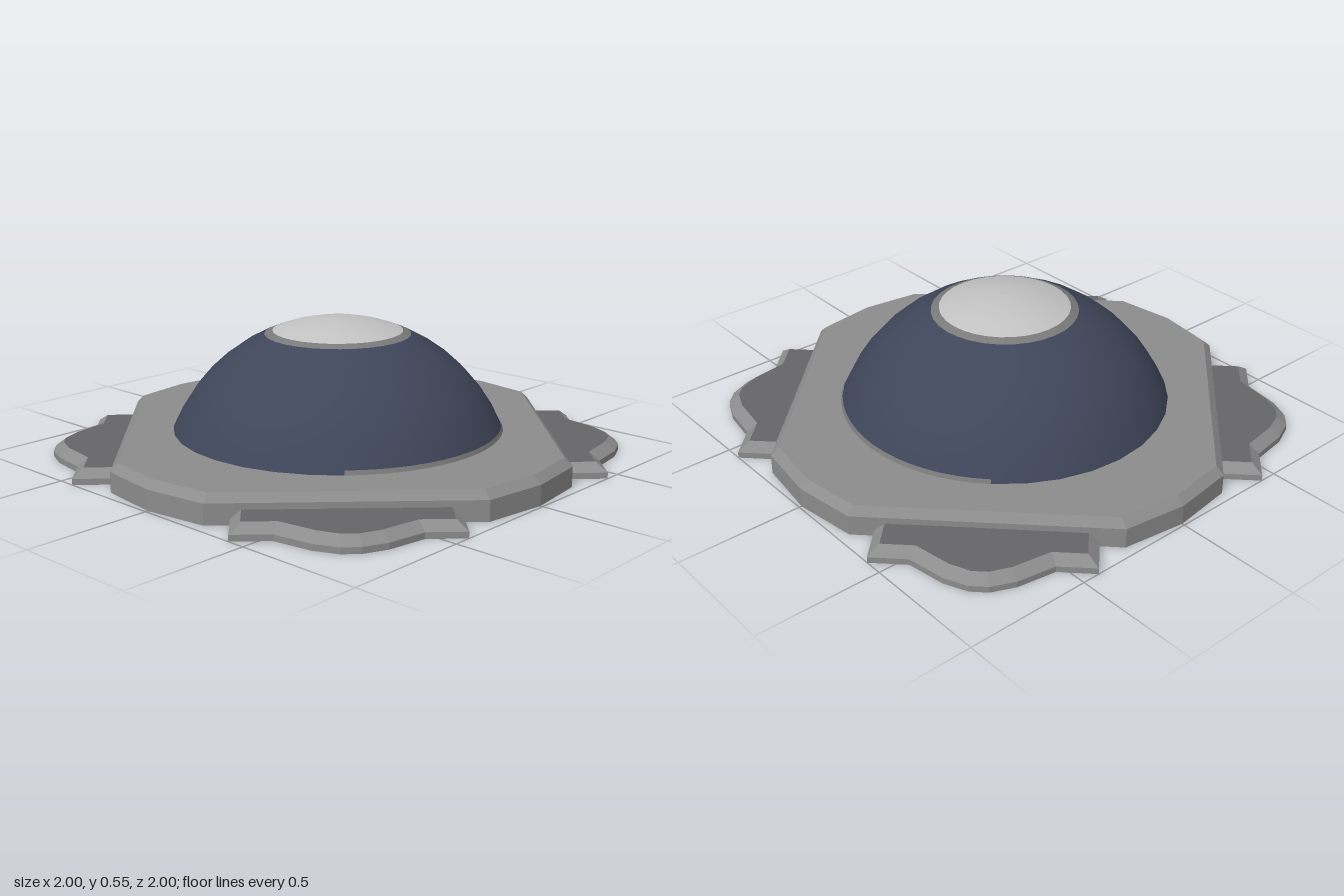
import * as THREE from 'three';

const mat = (name, color, side = THREE.FrontSide) => {
  const m = new THREE.MeshStandardMaterial({ color, side });
  m.name = name;
  return m;
};

// Walls joining stacked outlines; each layer is { y, pts: [[x, z], ...] } running from +x to +z
function loft(layers) {
  const pos = [];
  for (let k = 0; k < layers.length - 1; k++) {
    const lo = layers[k], hi = layers[k + 1], n = lo.pts.length;
    for (let i = 0; i < n; i++) {
      const j = (i + 1) % n;
      const v = (l, q) => [l.pts[q][0], l.y, l.pts[q][1]];
      pos.push(...v(lo, i), ...v(hi, i), ...v(lo, j), ...v(lo, j), ...v(hi, i), ...v(hi, j));
    }
  }
  const g = new THREE.BufferGeometry();
  g.setAttribute('position', new THREE.Float32BufferAttribute(pos, 3));
  g.computeVertexNormals();
  return g;
}

// Flat face filling an outline, looking up or down
function face({ y, pts }, up) {
  const shape = new THREE.Shape(pts.map(([x, z]) => new THREE.Vector2(x, up ? -z : z)));
  return new THREE.ShapeGeometry(shape).rotateX(up ? -Math.PI / 2 : Math.PI / 2).translate(0, y, 0);
}

function slab(name, layers, sideMat, topMat) {
  const group = new THREE.Group();
  group.name = name;
  const add = (part, geo, m) => {
    const mesh = new THREE.Mesh(geo, m);
    mesh.name = name + part;
    group.add(mesh);
  };
  add('Walls', loft(layers), sideMat);
  add('Top', face(layers[layers.length - 1], true), topMat);
  add('Underside', face(layers[0], false), sideMat);
  return group;
}

// Completes an outline that is symmetric about the diagonal
const mirrorDiagonal = half => [...half, ...half.slice().reverse().map(([x, z]) => [z, x])];

export function createModel() {
  const stone = mat('stoneGrey', 0x8c8c8c);
  const floor = mat('darkGrey', 0x666668);
  const navy = mat('slateBlue', 0x3f465a, THREE.DoubleSide);
  const light = mat('paleGrey', 0xc2c2c2);
  const trim = mat('trimGrey', 0x7a7a7a);

  const model = new THREE.Group();
  model.name = 'domedPlatform';

  // Main platform: clipped square with slightly pointed sides and a bevelled top
  const outline = [];
  for (let q = 0; q < 4; q++) {
    const c = Math.round(Math.cos(q * Math.PI / 2)), s = Math.round(Math.sin(q * Math.PI / 2));
    for (const [x, z] of [[0.955, -0.255], [0.99, 0], [0.955, 0.255]]) outline.push([x * c - z * s, x * s + z * c]);
  }
  const inset = outline.map(([x, z]) => [x * 0.967, z * 0.967]);
  model.add(slab('platform', [
    { y: 0, pts: outline }, { y: 0.08, pts: outline }, { y: 0.11, pts: inset },
  ], stone, stone));

  // Scalloped corner ledges with a sloping rim and a dark floor
  const outer = mirrorDiagonal([[0.87, 0.3], [1, 0.43], [0.895, 0.535], [0.87, 0.69], [0.83, 0.78]]);
  const inner = mirrorDiagonal([[0.845, 0.33], [0.945, 0.43], [0.855, 0.52], [0.83, 0.675], [0.797, 0.755]]);
  for (let q = 0; q < 4; q++) {
    const ledge = slab('cornerLedge', [
      { y: 0, pts: outer }, { y: 0.024, pts: outer }, { y: 0.056, pts: inner },
    ], stone, floor);
    ledge.rotation.y = q * Math.PI / 2;
    model.add(ledge);
  }

  // Dome: bands of one spherical cap, turned from base radius to top radius
  const R = 0.715, cy = -0.165;
  const band = (name, r0, r1, steps, material, lift = 0, start = 0, sweep = Math.PI * 2) => {
    const a0 = Math.asin(r0 / R), a1 = Math.asin(r1 / R), pts = [];
    for (let i = 0; i <= steps; i++) {
      const a = a0 + (a1 - a0) * i / steps;
      pts.push(new THREE.Vector2((R + lift) * Math.sin(a), cy + (R + lift) * Math.cos(a)));
    }
    const mesh = new THREE.Mesh(new THREE.LatheGeometry(pts, 32, start, sweep), material);
    mesh.name = name;
    model.add(mesh);
  };
  band('dome', 0.66, 0.292, 6, navy);
  band('capRing', 0.292, 0.26, 1, trim);
  band('domeCap', 0.26, 0, 4, light);
  band('domeFootTrim', 0.66, 0.653, 1, trim, 0.003, -Math.PI / 4, Math.PI);

  return model;
}
